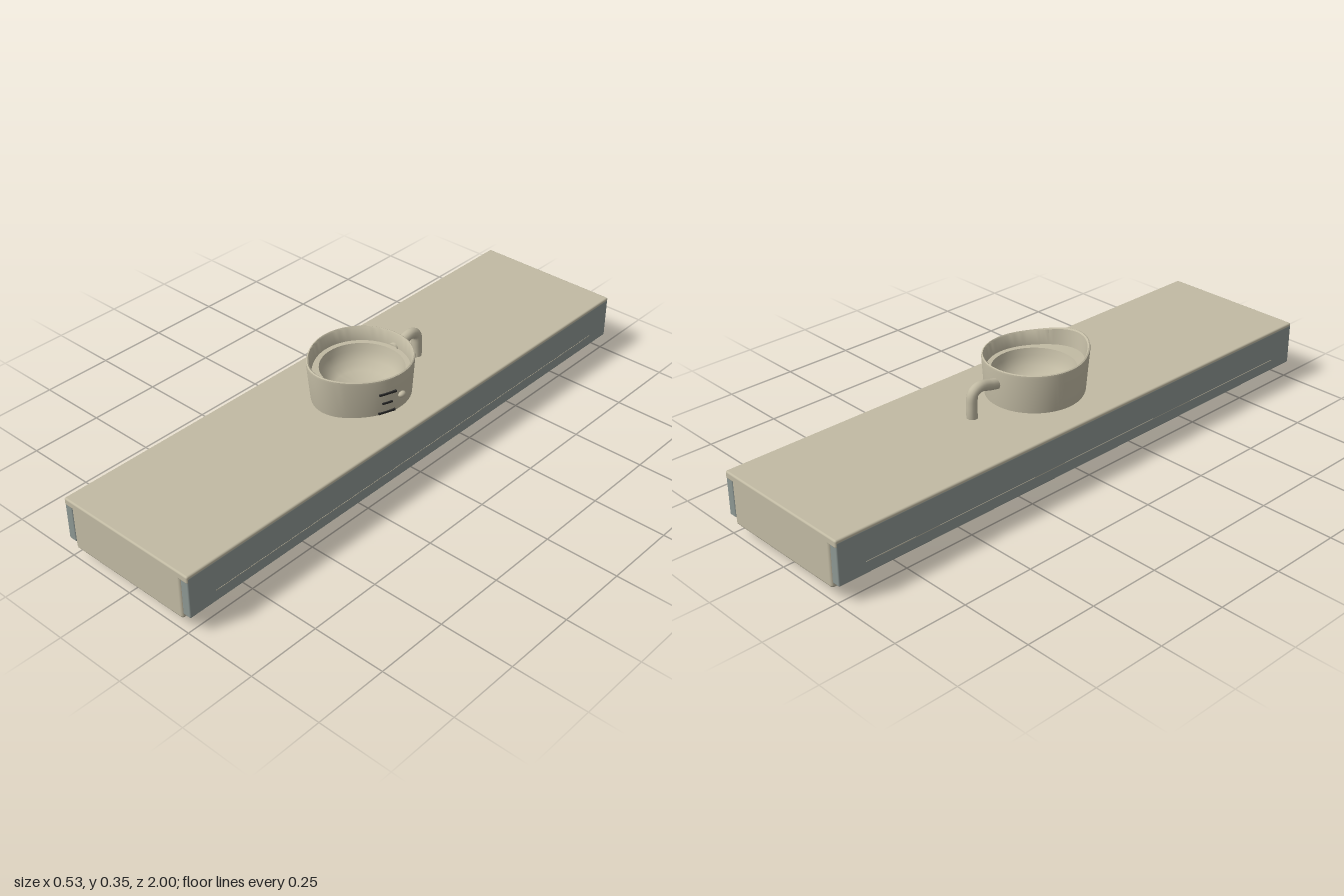
import * as THREE from 'three';
import { toCreasedNormals } from 'three/addons/utils/BufferGeometryUtils.js';
import { RoundedBoxGeometry } from 'three/addons/geometries/RoundedBoxGeometry.js';

const mat = (name, color) => {
  const m = new THREE.MeshStandardMaterial({ color });
  m.name = name;
  return m;
};

export function createModel() {
  const beige = mat('warm beige', 0xc1baa3);
  const grey = mat('blue grey', 0x8d9793);
  const black = mat('black', 0x2c2c2b);
  const model = new THREE.Group();
  model.name = 'lampAndJug';

  const add = (name, geo, material, x = 0, y = 0, z = 0) => {
    const m = new THREE.Mesh(geo, material);
    m.name = name;
    m.position.set(x, y, z);
    model.add(m);
    return m;
  };
  // Box given by its lower and upper corners, optionally rounded
  const box = (name, material, a, b, r = 0) => {
    const s = b.map((v, i) => v - a[i]);
    const geo = r ? new RoundedBoxGeometry(...s, 3, r) : new THREE.BoxGeometry(...s);
    return add(name, geo, material, ...b.map((v, i) => (v + a[i]) / 2));
  };

  // Lamp housing: top plate, raised spine below it
  box('topPlate', beige, [-0.262, 0.185, -1], [0.262, 0.211, 1], 0.006);
  box('spine', beige, [-0.08, 0.1, -0.9], [0.08, 0.19, 0.9], 0.006);

  for (const s of [-1, 1]) {
    // End caps
    box('endCap', beige, [-0.232, 0.04, s * 0.95 - 0.05], [0.232, 0.208, s * 0.95 + 0.05], 0.01);
    // Side panels with a thin seam line
    const px = s * 0.247;
    box('sidePanel', grey, [px - 0.0155, 0.06, -0.998], [px + 0.0155, 0.204, 0.998], 0.005);
    box('panelSeam', beige, [s * 0.2625 - 0.0008, 0.099, -0.9], [s * 0.2625 + 0.0008, 0.101, 0.9]);

    // Fluorescent tube and its fittings
    const tx = s * 0.127;
    add('lampTube', new THREE.CylinderGeometry(0.032, 0.032, 1.72, 32), beige, tx, 0.033, 0).rotation.x = Math.PI / 2;
    for (const e of [-1, 1]) {
      add('tubeEnd', new THREE.CylinderGeometry(0.029, 0.029, 0.05, 24), grey, tx, 0.034, e * 0.88).rotation.x = Math.PI / 2;
      box('tubeHolder', beige, [tx - 0.043, 0.021, e * 0.9 - 0.025], [tx + 0.043, 0.06, e * 0.9 + 0.025], 0.008);
    }

    // Black blocks under the spine
    box('starterBlock', black, [s * 0.07 - 0.026, 0.005, 0.22], [s * 0.07 + 0.026, 0.04, 0.27], 0.005);
    box('starterStem', beige, [s * 0.06 - 0.015, 0.038, 0.23], [s * 0.06 + 0.015, 0.105, 0.26]);
  }

  // Jug body: a turned profile pulled out into a spout towards the front
  const profile = [
    [0, 0.002], [0.128, 0.002], [0.138, 0.005], [0.143, 0.013], [0.151, 0.1],
    [0.16, 0.21], [0.168, 0.336], [0.167, 0.342], [0.163, 0.344], [0.159, 0.34],
    [0.154, 0.295], [0.138, 0.294], [0.132, 0.27], [0.118, 0.24], [0.09, 0.219], [0, 0.217],
  ].map(([x, y]) => new THREE.Vector2(x, y));
  const jug = new THREE.LatheGeometry(profile, 72);
  const pos = jug.attributes.position;
  for (let i = 0; i < pos.count; i++) {
    const row = i % profile.length;
    if (row > 10) continue;
    const x = pos.getX(i), y = pos.getY(i), z = pos.getZ(i);
    const a = Math.atan2(x, z);
    const pull = Math.exp(-((a / 0.6) ** 2));
    const k = 1 + pull * (0.07 + 0.45 * y);
    const lift = row > 5 && row < 10 ? 0.011 * pull : 0;
    pos.setXYZ(i, x * k, y + lift, z * k);
  }
  add('jugBody', toCreasedNormals(jug, 0.7), beige);

  // Jug handle
  const path = new THREE.CatmullRomCurve3([
    [0.29, -0.15], [0.298, -0.19], [0.307, -0.235], [0.293, -0.262], [0.255, -0.268],
    [0.2, -0.265], [0.13, -0.235], [0.07, -0.17], [0.06, -0.14],
  ].map(([y, z]) => new THREE.Vector3(0, y, z)));
  add('jugHandle', new THREE.TubeGeometry(path, 40, 0.018, 16), beige);

  // Small grey prongs beside the lower handle
  for (const s of [-1, 1]) {
    add('handleProng', new THREE.CapsuleGeometry(0.008, 0.05, 4, 10), grey, s * 0.025, 0.075, -0.18).rotation.x = 1.2;
  }

  // Level marks and gauge knob on the left wall
  for (let i = 0; i < 7; i++) {
    const y = 0.29 - i * 0.036;
    const r = 0.143 + (y - 0.013) * 0.0774 + 0.002;
    const len = i % 2 ? 0.035 : 0.06;
    const mark = box('levelMark', black, [r - 0.004, y - 0.003, -len / 2], [r + 0.004, y + 0.003, len / 2]);
    const a = 0.34;
    mark.position.set(r * Math.cos(a), y, r * Math.sin(a));
    mark.rotation.y = -a;
  }
  const knob = add('gaugeKnob', new THREE.SphereGeometry(0.01, 20, 14), beige, 0.167, 0.264, 0);
  knob.scale.set(1.1, 1, 1.5);

  return model;
}
